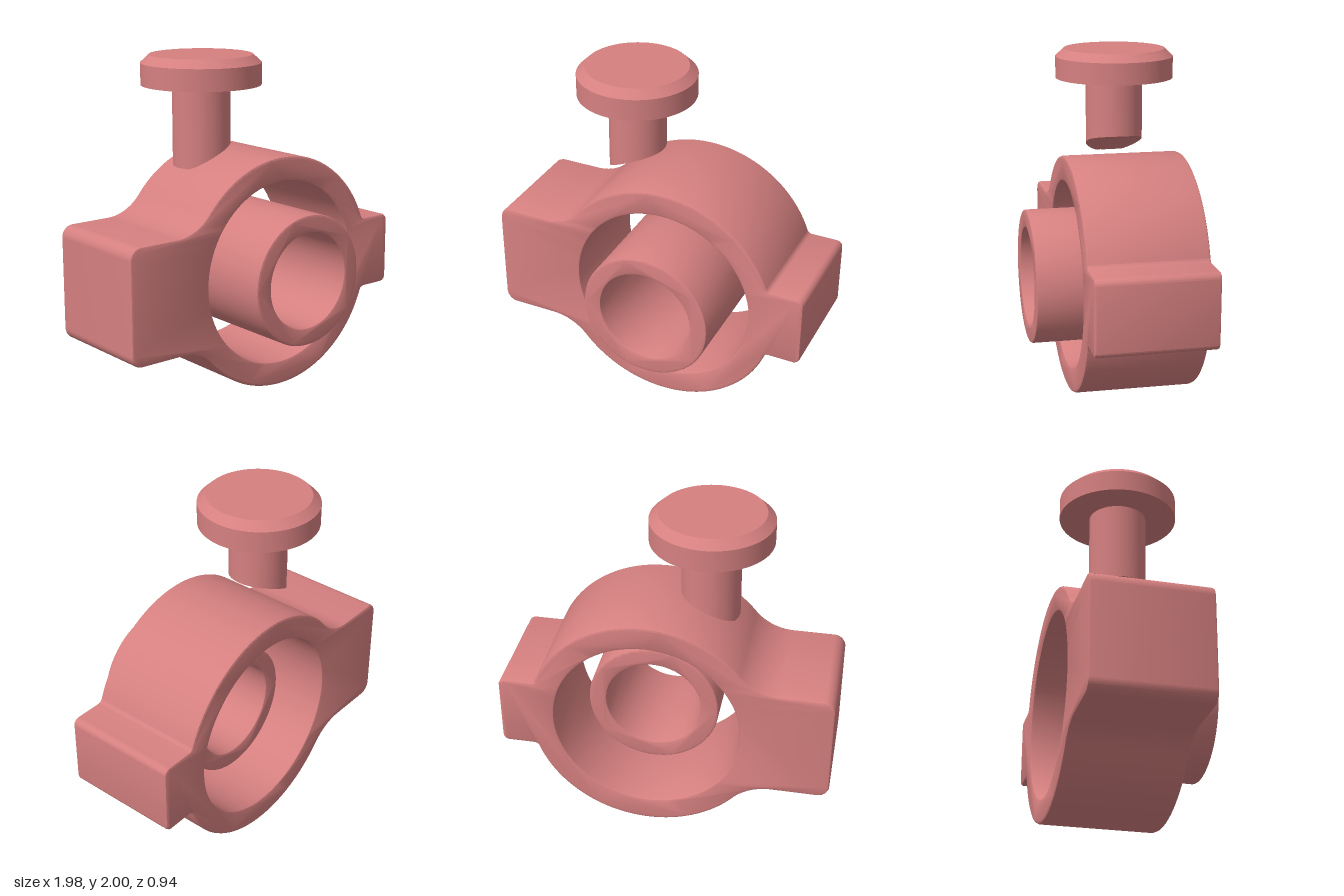
import * as THREE from 'three';
import { toCreasedNormals } from 'three/addons/utils/BufferGeometryUtils.js';

const CX = 0.103, CY = 0.706; // shared axis of the ring and the sleeve
const RING_R = 0.702, CREASE = 0.5;
const material = new THREE.MeshStandardMaterial({ color: 0xd68080, side: THREE.DoubleSide });

function addMesh(group, name, geometry) {
  const mesh = new THREE.Mesh(toCreasedNormals(geometry, CREASE), material);
  mesh.name = name;
  group.add(mesh);
  return mesh;
}

// Extrude a shape between two depths, with softened edges inside its outline
function extrude(shape, z0, z1, bevel) {
  return new THREE.ExtrudeGeometry(shape, {
    depth: z1 - z0 - 2 * bevel, curveSegments: 40, bevelThickness: bevel,
    bevelSize: bevel, bevelOffset: -bevel, bevelSegments: 2,
  }).translate(0, 0, z0 + bevel);
}

function addHole(shape, radius) {
  shape.holes.push(new THREE.Path().absarc(CX, CY, radius, 0, Math.PI * 2, true));
}

// Concave fillet that joins the ring to a horizontal edge at height y
function fillet(side, y, r) {
  const up = Math.sign(y - CY), h = Math.abs(y - CY);
  const x = CX + side * Math.sqrt((RING_R + r) ** 2 - (h + r) ** 2);
  const fy = y + up * r;
  const toRing = Math.atan2(CY - fy, CX - x);
  return { x, y: fy, r, toRing, toEdge: -up * Math.PI / 2, onRing: toRing + Math.PI };
}

// Ring with a wide block on one side and a small tab on the other
function bodyShape() {
  const block = { x: -0.99, bottom: 0.345, top: 1.035, r: 0.07 };
  const tab = { x: 0.985, bottom: 0.49, top: 0.935, r: 0.04 };
  const blockLow = fillet(-1, block.bottom, 0.3), blockHigh = fillet(-1, block.top, 0.3);
  const tabLow = fillet(1, tab.bottom, 0.03), tabHigh = fillet(1, tab.top, 0.03);
  const q = Math.PI / 2;
  const s = new THREE.Shape();
  const fromEdge = (f) => s.absarc(f.x, f.y, f.r, f.toEdge, f.toRing, true);
  const fromRing = (f) => s.absarc(f.x, f.y, f.r, f.toRing, f.toEdge, true);
  const corner = (x, y, r, a) => s.absarc(x, y, r, a, a + q, false);

  s.moveTo(block.x + block.r, block.bottom);
  fromEdge(blockLow);
  s.absarc(CX, CY, RING_R, blockLow.onRing, tabLow.onRing, false);
  fromRing(tabLow);
  corner(tab.x - tab.r, tab.bottom + tab.r, tab.r, -q);
  corner(tab.x - tab.r, tab.top - tab.r, tab.r, 0);
  fromEdge(tabHigh);
  s.absarc(CX, CY, RING_R, tabHigh.onRing, blockHigh.onRing, false);
  fromRing(blockHigh);
  corner(block.x + block.r, block.top - block.r, block.r, q);
  corner(block.x + block.r, block.bottom + block.r, block.r, 2 * q);
  addHole(s, 0.555);
  return s;
}

function lathe(points, segments = 96) {
  return new THREE.LatheGeometry(points.map(([r, y]) => new THREE.Vector2(r, y)), segments);
}

// Stem whose lower end is cut by a cylinder around the ring axis
function stemGeometry(axisX) {
  const radius = 0.17, low = 1.35, high = 1.84, cutR = 0.8, steps = 12;
  const points = [];
  for (let i = 0; i <= steps; i++) points.push([radius * i / steps, low]);
  points.push([radius, high]);
  const geometry = lathe(points);
  const p = geometry.attributes.position;
  for (let i = 0; i < p.count; i++) {
    if (p.getY(i) > low + 0.01) continue;
    const dx = p.getX(i) + axisX - CX;
    p.setY(i, Math.max(low, CY + Math.sqrt(cutR * cutR - dx * dx)));
  }
  return geometry;
}

export function createModel() {
  const model = new THREE.Group();
  model.name = 'ringHousing';

  addMesh(model, 'housing', extrude(bodyShape(), -0.46, 0.24, 0.015));

  // Loose sleeve, standing forward of the housing
  const sleeve = new THREE.Shape().absarc(CX, CY, 0.394, 0, Math.PI * 2, false);
  addHole(sleeve, 0.288);
  addMesh(model, 'sleeve', extrude(sleeve, -0.23, 0.472, 0.012));

  // Push button hovering over the housing
  const button = new THREE.Group();
  button.name = 'button';
  button.position.set(-0.22, 0, -0.12);
  addMesh(button, 'buttonCap', lathe([[0, 1.825], [0.352, 1.825], [0.352, 1.953], [0.302, 2], [0, 2]]));
  addMesh(button, 'buttonStem', stemGeometry(button.position.x));
  model.add(button);

  return model;
}
